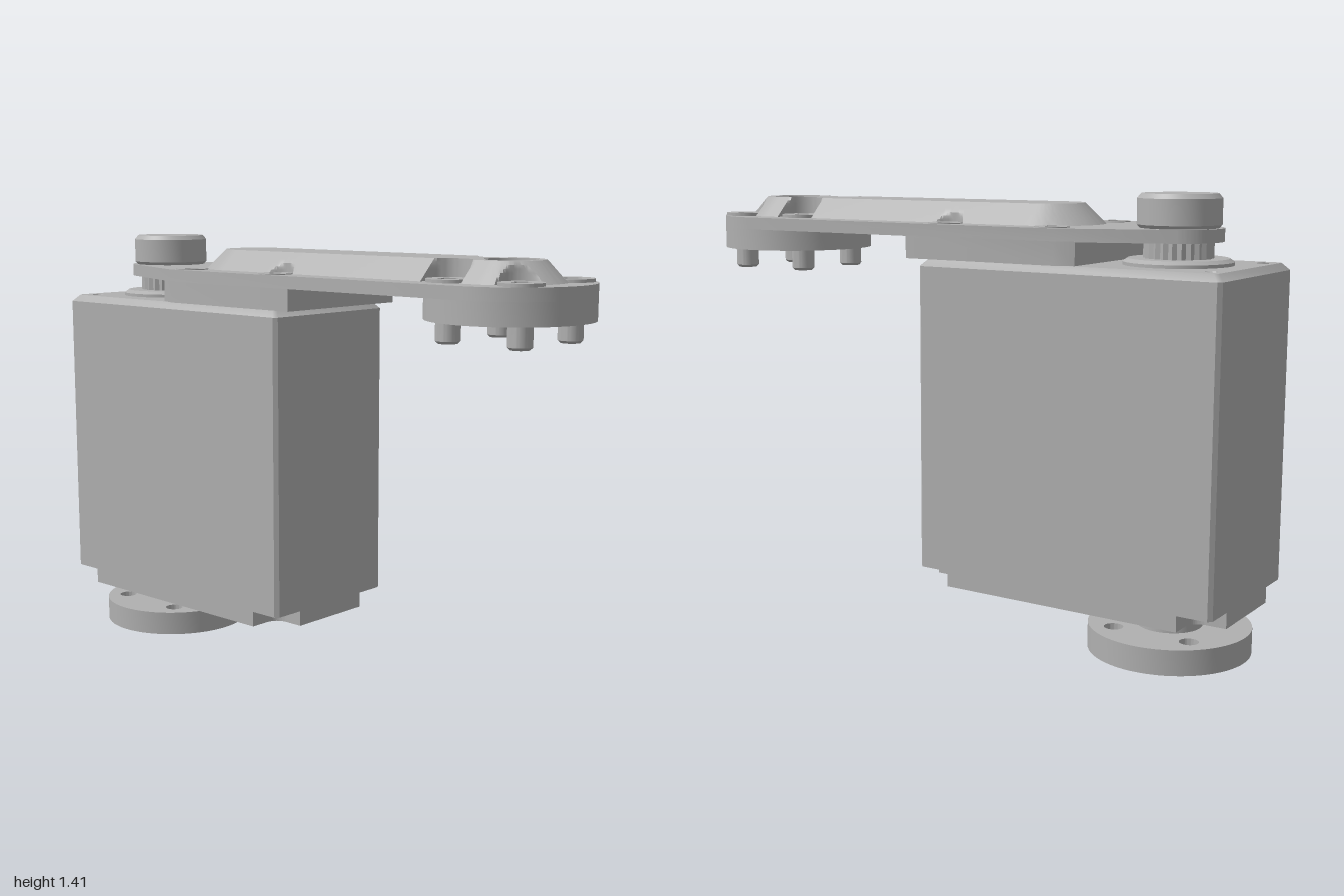
import * as THREE from 'three';
import { toCreasedNormals } from 'three/addons/utils/BufferGeometryUtils.js';

const AXIS_Z = -0.745;   // output shaft
const HORN_Z = 0.737;    // free end of the arm
const BODY = { x: 0.26, z: 0.515, mid: -0.485 };

export function createModel() {
  const model = new THREE.Group();
  const grey = new THREE.MeshStandardMaterial({ color: 0xb0b0b0 });
  grey.name = 'grey';

  const add = (name, geometry, x = 0, z = 0) => {
    const mesh = new THREE.Mesh(geometry, grey);
    mesh.name = name;
    mesh.position.set(x, 0, z);
    model.add(mesh);
    return mesh;
  };

  // Plan shapes use (x, z); layers run from y0 up to y1
  const layer = (shape, y0, y1, rule, steps = 1) => {
    const g = new THREE.ExtrudeGeometry(shape, { depth: y1 - y0, bevelEnabled: false, curveSegments: 32, steps });
    g.rotateX(Math.PI / 2).translate(0, y1, 0);
    if (rule) {
      const p = g.attributes.position;
      const v = new THREE.Vector3();
      for (let i = 0; i < p.count; i++) {
        rule(v.fromBufferAttribute(p, i));
        p.setXYZ(i, v.x, v.y, v.z);
      }
    }
    return toCreasedNormals(g, 0.6);
  };
  const circle = (r, x = 0, z = 0) => new THREE.Shape().absarc(x, z, r, 0, Math.PI * 2, false);
  const polygon = (n, radius) => new THREE.Shape(Array.from({ length: n }, (_, i) => {
    const a = (i / n) * Math.PI * 2;
    return new THREE.Vector2(Math.cos(a) * radius(i), Math.sin(a) * radius(i));
  }));
  const lathe = (points) =>
    toCreasedNormals(new THREE.LatheGeometry(points.map(([r, y]) => new THREE.Vector2(r, y)), 48), 0.5);
  const withHoles = (shape, holes) => { shape.holes.push(...holes); return shape; };
  const corners = (x, z, mid = 0) => [[x, mid + z], [-x, mid + z], [-x, mid - z], [x, mid - z]];

  // Body: box with fine vertical chamfers, notched foot and bevelled lid
  const plan = () => {
    const { x, z, mid } = BODY, c = 0.012;
    return new THREE.Shape([
      [x, mid - z + c], [x, mid + z - c], [x - c, mid + z], [-x + c, mid + z],
      [-x, mid + z - c], [-x, mid - z + c], [-x + c, mid - z], [x - c, mid - z],
    ].map((p) => new THREE.Vector2(...p)));
  };
  add('body', layer(plan(), 0.24, 1.178));
  add('bodyCornerSockets', layer(
    withHoles(plan(), corners(0.205, 0.46, BODY.mid).map(([x, z]) => circle(0.026, x, z))), 0.2, 0.24));
  add('bodyLid', layer(
    withHoles(plan(), [-1, 1].map((s) => circle(0.02, s * 0.2, -0.955))), 1.178, 1.2,
    (v) => {
      if (v.y > 1.19) {
        v.x *= 0.92;
        v.z = BODY.mid + (v.z - BODY.mid) * 0.96;
      }
    }));

  // Foot with filleted corner notches and mounting holes
  const foot = new THREE.Shape();
  const { x: hx, z: hz, mid } = BODY, n = 0.11, f = 0.05;
  foot.moveTo(hx, mid - hz + n).lineTo(hx, mid + hz - n);
  foot.lineTo(hx - n + f, mid + hz - n).quadraticCurveTo(hx - n, mid + hz - n, hx - n, mid + hz - n + f);
  foot.lineTo(hx - n, mid + hz).lineTo(-hx + n, mid + hz);
  foot.lineTo(-hx + n, mid + hz - n + f).quadraticCurveTo(-hx + n, mid + hz - n, -hx + n - f, mid + hz - n);
  foot.lineTo(-hx, mid + hz - n).lineTo(-hx, mid - hz + n);
  foot.lineTo(-hx + n - f, mid - hz + n).quadraticCurveTo(-hx + n, mid - hz + n, -hx + n, mid - hz + n - f);
  foot.lineTo(-hx + n, mid - hz).lineTo(hx - n, mid - hz);
  foot.lineTo(hx - n, mid - hz + n - f).quadraticCurveTo(hx - n, mid - hz + n, hx - n + f, mid - hz + n);
  foot.holes.push(circle(0.016, 0, -0.03));
  for (const s of [-1, 1]) {
    for (const z of [-0.57, -0.41, -0.21]) foot.holes.push(circle(0.016, s * 0.2, z));
  }
  add('foot', layer(foot, 0.15, 0.2));

  // Lower output: boss, hollow shaft and horn disc
  add('lowerBoss', lathe([[0, 0.132], [0.155, 0.132], [0.167, 0.14], [0.167, 0.152]]), 0, AXIS_Z);
  add('lowerShaft', layer(withHoles(circle(0.103), [circle(0.04)]), 0.02, 0.134), 0, AXIS_Z);
  const screwSpots = corners(0.13, 0.128);
  add('lowerHorn', layer(
    withHoles(circle(0.255), [circle(0.09), ...screwSpots.map(([x, z]) => circle(0.03, x, z))]), 0, 0.08), 0, AXIS_Z);

  // Upper output: boss, splined shaft and round cap
  add('upperBoss', lathe([[0.167, 1.198], [0.167, 1.21], [0.152, 1.22], [0, 1.22]]), 0, AXIS_Z);
  add('splinedShaft', layer(polygon(48, (i) => (i % 2 ? 0.099 : 0.106)), 1.218, 1.272), 0, AXIS_Z);
  add('shaftCap', lathe([
    [0, 1.305], [0.115, 1.305], [0.127, 1.32], [0.127, 1.398], [0.115, 1.412], [0, 1.412],
  ]), 0, AXIS_Z);

  // Screws: four through the arm's end, four along its sides
  const screws = [
    ...screwSpots.map(([x, z]) => ({ x, z: z + HORN_Z, r: 0.068, top: 1.32 })),
    ...corners(0.195, 0.195, -0.225).map(([x, z]) => ({ x, z, r: 0.054, top: 1.313 })),
  ];
  screws.forEach(({ x, z, r, top }) => {
    add('screwHead', layer(withHoles(circle(r), [polygon(6, () => r * 0.48)]), 1.272, top), x, z);
  });
  screws.slice(0, 4).forEach(({ x, z }) => add('screwTip', lathe([
    [0, 1.13], [0.03, 1.13], [0.038, 1.138], [0.038, 1.205],
  ]), x, z));

  // Arm plate: round front, tapering back to the shaft
  const arm = new THREE.Shape();
  arm.moveTo(0.255, -0.46).lineTo(0.255, HORN_Z);
  arm.absarc(0, HORN_Z, 0.255, 0, Math.PI, false);
  arm.lineTo(-0.255, -0.46);
  arm.absarc(0, AXIS_Z, 0.135, Math.PI + 0.37, Math.PI * 2 - 0.37, false);
  arm.holes.push(circle(0.08, 0, HORN_Z), ...screws.map(({ x, z, r }) => circle(r, x, z)));
  add('armPlate', layer(arm, 1.27, 1.31));
  add('armHorn', layer(withHoles(circle(0.255), [circle(0.08)]), 1.2, 1.272), 0, HORN_Z);
  add('armBlock', layer(new THREE.Shape([
    [0.255, 0.08], [-0.255, 0.08], [-0.255, -0.46], [-0.232, -0.52], [0.232, -0.52], [0.255, -0.46],
  ].map((p) => new THREE.Vector2(...p))), 1.2, 1.272));

  // Arm rib: sloped stadium, cut back wherever a screw head needs room
  const REAR_Z = -0.305, BASE = 0.172, CREST = 0.105;
  const reach = (width, spineZ, dx, dz) => {
    let d = width;
    for (const s of screws) {
      const r = s.r + 0.003, ox = s.x, oz = s.z - spineZ;
      const along = ox * dx + oz * dz;
      const off = r * r - (ox * ox + oz * oz - along * along);
      if (off > 0 && along > 0) {
        const near = along - Math.sqrt(off);
        if (near < d) d = near;
      }
    }
    return d;
  };
  const outline = [];
  const put = (spineZ, dx, dz) => {
    const d = reach(BASE, spineZ, dx, dz);
    outline.push(new THREE.Vector2(dx * d, spineZ + dz * d));
  };
  const SIDE = 140, CAP = 64, length = HORN_Z - REAR_Z;
  for (let i = 0; i < SIDE; i++) put(REAR_Z + (length * i) / SIDE, 1, 0);
  for (let i = 0; i < CAP; i++) put(HORN_Z, Math.cos((i / CAP) * Math.PI), Math.sin((i / CAP) * Math.PI));
  for (let i = 0; i < SIDE; i++) put(HORN_Z - (length * i) / SIDE, -1, 0);
  for (let i = 0; i < CAP; i++) put(REAR_Z, -Math.cos((i / CAP) * Math.PI), -Math.sin((i / CAP) * Math.PI));
  const rib = withHoles(new THREE.Shape(outline), [circle(0.08, 0, HORN_Z)]);
  add('armRib', layer(rib, 1.309, 1.375, (v) => {
    if (Math.hypot(v.x, v.z - HORN_Z) < 0.081) return;
    const spineZ = THREE.MathUtils.clamp(v.z, REAR_Z, HORN_Z);
    const d = Math.hypot(v.x, v.z - spineZ);
    const dx = v.x / d, dz = (v.z - spineZ) / d;
    const width = THREE.MathUtils.mapLinear(v.y, 1.309, 1.375, BASE, CREST);
    const newD = reach(width, spineZ, dx, dz);
    v.x = dx * newD;
    v.z = spineZ + dz * newD;
  }, 6));

  return model;
}
